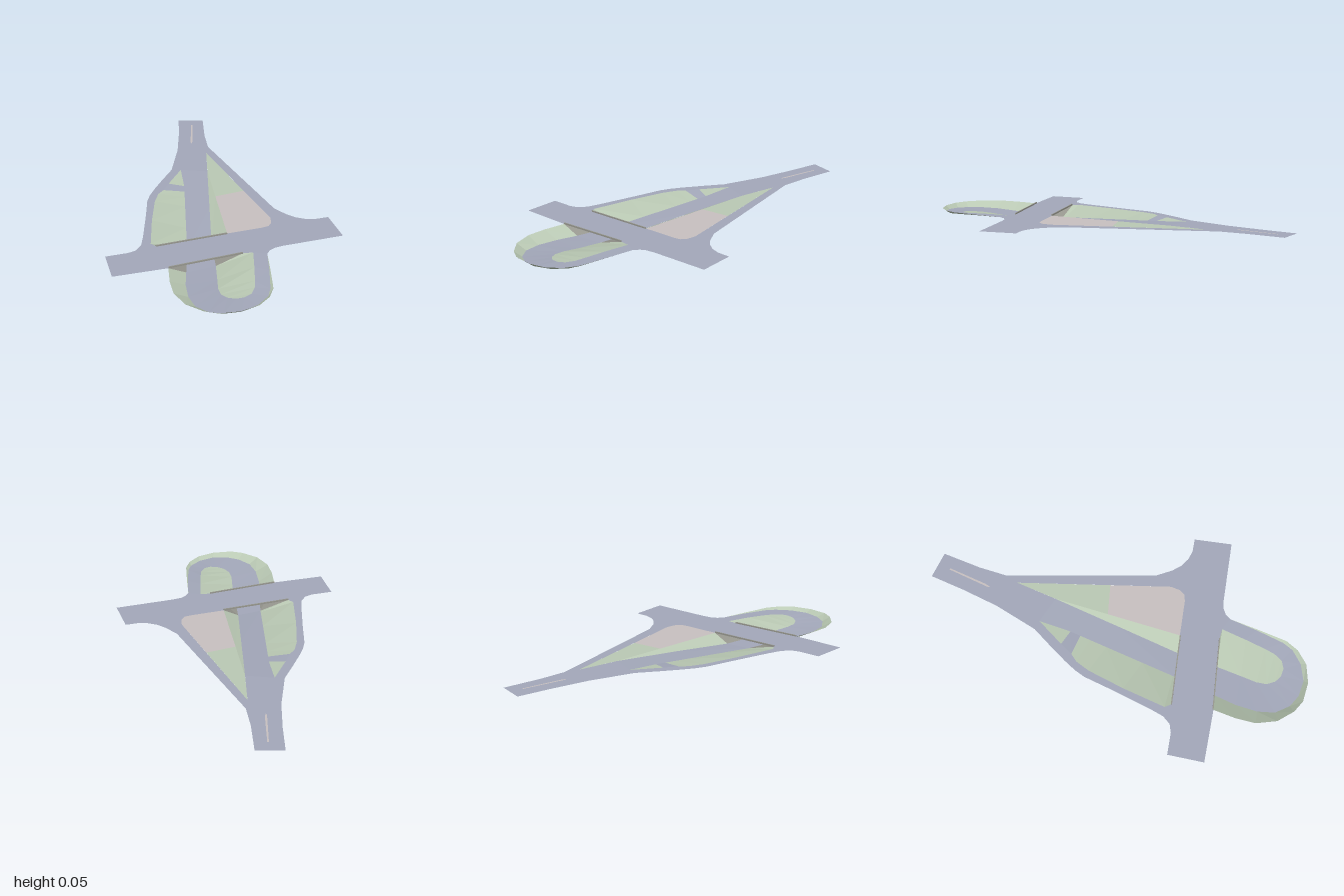
import * as THREE from 'three';

const TOP = 0.043; // level of the upper roads

const paint = (name, color) => {
  const m = new THREE.MeshStandardMaterial({ color, side: THREE.DoubleSide });
  m.name = name;
  return m;
};

export function createModel() {
  const group = new THREE.Group();
  const asphalt = paint('asphalt', 0xa3a8ba);
  const grass = paint('grass', 0xbac9b4);
  const paving = paint('paving', 0xc8c0c0);
  const concrete = paint('concrete', 0x97978f);

  const add = (name, geometry, material) => {
    geometry.computeVertexNormals();
    const mesh = new THREE.Mesh(geometry, material);
    mesh.name = name;
    group.add(mesh);
    return mesh;
  };

  // triangles of [x, y, z] corners, all turned to face up
  const surface = (name, tris, material) => {
    const pos = [];
    for (const [a, b, c] of tris) {
      const up = (b[2] - a[2]) * (c[0] - a[0]) - (b[0] - a[0]) * (c[2] - a[2]);
      if (Math.abs(up) < 1e-9) continue;
      pos.push(...a, ...(up > 0 ? b : c), ...(up > 0 ? c : b));
    }
    const g = new THREE.BufferGeometry();
    g.setAttribute('position', new THREE.Float32BufferAttribute(pos, 3));
    return add(name, g, material);
  };

  // strip between two edges with the same number of points
  const ribbon = (name, a, b, material) => {
    const tris = [];
    for (let i = 0; i < a.length - 1; i++) {
      tris.push([a[i], a[i + 1], b[i]], [a[i + 1], b[i + 1], b[i]]);
    }
    return surface(name, tris, material);
  };

  // level area given by [x, z] points, with an optional hole
  const flat = (name, outline, material, hole, y = TOP) => {
    const toV = (list) => list.map(([x, z]) => new THREE.Vector2(x, z));
    const all = hole ? [...outline, ...hole] : outline;
    const faces = THREE.ShapeUtils.triangulateShape(toV(outline), hole ? [toV(hole)] : []);
    return surface(name, faces.map((f) => f.map((i) => [all[i][0], y, all[i][1]])), material);
  };

  const up = ([x, z]) => [x, TOP, z];

  // edges of the road that dips under the bridge
  const rampY = (z) => TOP * Math.min(1, Math.max(0, (0.385 - z) / 0.75));
  const leftEdge = (z) => [-0.305 + (z + 0.2) * 0.1795, rampY(z), z];
  const rightEdge = (z) => [-0.24 + (z + 0.585) * 0.1713, rampY(z), z];

  // upper road level: stem, side ramps and crossing road
  const islandRim = [[-0.405, -0.125], [-0.425, -0.08], [-0.43, 0], [-0.41, 0.2], [-0.375, 0.43], [-0.345, 0.45]];
  const outline = [
    [-0.46, -0.98], [-0.32, -1], [-0.3, -0.9], [-0.28, -0.8], [-0.24, -0.66], [-0.2, -0.6], [0.2, 0],
    [0.27, 0.055], [0.32, 0.08], [0.37, 0.09], [0.42, 0.085], [0.485, 0.057], [0.57, 0.235],
    [0.28, 0.37], [0.24, 0.395], [0.22, 0.42], [0.21, 0.455], [0.14, 0.45], [0.09, 0.465],
    [-0.25, 0.645], [-0.505, 0.753], [-0.575, 0.577], [-0.47, 0.53], [-0.435, 0.5], [-0.42, 0.45],
    [-0.425, 0.37], [-0.45, 0.15], [-0.47, 0], [-0.467, -0.06], [-0.455, -0.13], [-0.43, -0.24],
    [-0.4, -0.36], [-0.405, -0.6], [-0.43, -0.8],
  ];
  const hole = [
    [-0.35, -0.365], [-0.39, -0.2], ...islandRim,
    [-0.01, 0.285], [0.16, 0.205], [0.19, 0.185], [0.2, 0.15], [0.19, 0.1], [-0.24, -0.585],
  ];
  flat('upperRoad', outline, asphalt, hole);

  // descending road
  ribbon('dippingRoad',
    [[-0.24, TOP, -0.585], [-0.35, TOP, -0.365], leftEdge(-0.2), leftEdge(0), leftEdge(0.385)],
    [[-0.24, TOP, -0.585], rightEdge(-0.365), rightEdge(-0.2), rightEdge(0), [-0.085, 0, 0.32]],
    asphalt);

  // left side: grass wedge, link road, sloping island
  surface('grassWedge', [[[-0.35, TOP, -0.365], [-0.39, TOP, -0.2], leftEdge(-0.2)]], grass);
  ribbon('linkRoad', [up([-0.39, -0.2]), up(islandRim[0])], [leftEdge(-0.2), leftEdge(-0.145)], asphalt);
  ribbon('leftBank', islandRim.map(up), [-0.145, -0.09, 0, 0.2, 0.37, 0.385].map(leftEdge), grass);

  // right side: sloping bank, level grass and paved area
  ribbon('rightBank',
    [rightEdge(-0.365), rightEdge(-0.09), [-0.085, 0, 0.32]],
    [[-0.202, TOP, -0.365], [-0.121, TOP, -0.09], [-0.01, TOP, 0.285]], grass);
  flat('rightGrass', [[-0.24, -0.585], [-0.202, -0.365], [-0.121, -0.09], [0.02, -0.17]], grass);
  flat('pavedArea', [[-0.121, -0.09], [0.02, -0.17], [0.19, 0.1], [0.2, 0.15], [0.19, 0.185], [0.16, 0.205], [-0.01, 0.285]], paving);

  // underpass with sloping abutments
  ribbon('underpassRoad',
    [[-0.2, 0, 0.385], [-0.17, 0, 0.605]], [[-0.085, 0, 0.32], [-0.035, 0, 0.53]], asphalt);
  ribbon('leftAbutment',
    [[-0.345, TOP - 0.001, 0.45], [-0.25, TOP - 0.001, 0.645]], [[-0.2, 0, 0.385], [-0.17, 0, 0.605]], concrete);
  ribbon('rightAbutment',
    [[-0.01, TOP - 0.001, 0.285], [0.09, TOP - 0.001, 0.465]], [[-0.085, 0, 0.32], [-0.035, 0, 0.53]], concrete);

  // loop road climbing back to the crossing: height, outer edge, inner edge, bank rim
  const loop = [
    [0, -0.17, 0.605, -0.035, 0.53, -0.25, 0.645],
    [0.004, -0.155, 0.72, -0.01, 0.66, -0.225, 0.76],
    [0.009, -0.125, 0.83, 0.005, 0.745, -0.19, 0.86],
    [0.012, -0.08, 0.91, 0.025, 0.795, -0.12, 0.945],
    [0.016, -0.01, 0.955, 0.06, 0.825, -0.03, 0.99],
    [0.02, 0.06, 0.965, 0.1, 0.835, 0.04, 1],
    [0.024, 0.14, 0.945, 0.14, 0.825, 0.14, 0.97],
    [0.027, 0.21, 0.885, 0.17, 0.795, 0.22, 0.91],
    [0.03, 0.25, 0.81, 0.18, 0.745, 0.26, 0.835],
    [0.034, 0.255, 0.75, 0.175, 0.69, 0.27, 0.76],
    [0.04, 0.235, 0.6, 0.16, 0.58, 0.24, 0.6],
    [TOP, 0.21, 0.455, 0.14, 0.45, 0.21, 0.455],
  ];
  const outer = loop.map((p) => [p[1], p[0], p[2]]);
  const inner = loop.map((p) => [p[3], p[0], p[4]]);
  const rim = loop.map((p) => [p[5], TOP, p[6]]);
  ribbon('loopRoad', outer, inner, asphalt);
  ribbon('loopBank', rim, outer, grass);
  const corner = [0.09, TOP, 0.465];
  ribbon('loopIsland', [corner, ...inner.slice(0, 6)], [corner, ...inner.slice(6).reverse()], grass);

  // bridge parapets
  for (const [x1, z1, x2, z2] of [[-0.345, 0.452, -0.01, 0.288], [-0.25, 0.642, 0.09, 0.465]]) {
    const wall = add('parapet', new THREE.BoxGeometry(Math.hypot(x2 - x1, z2 - z1), 0.008, 0.006), concrete);
    wall.position.set((x1 + x2) / 2, 0.046, (z1 + z2) / 2);
    wall.rotation.y = -Math.atan2(z2 - z1, x2 - x1);
  }

  // painted divider on the stem
  flat('stemDivider', [[-0.378, -0.925], [-0.37, -0.925], [-0.338, -0.72], [-0.338, -0.69], [-0.346, -0.7]], paving, null, TOP + 0.001);

  return group;
}
